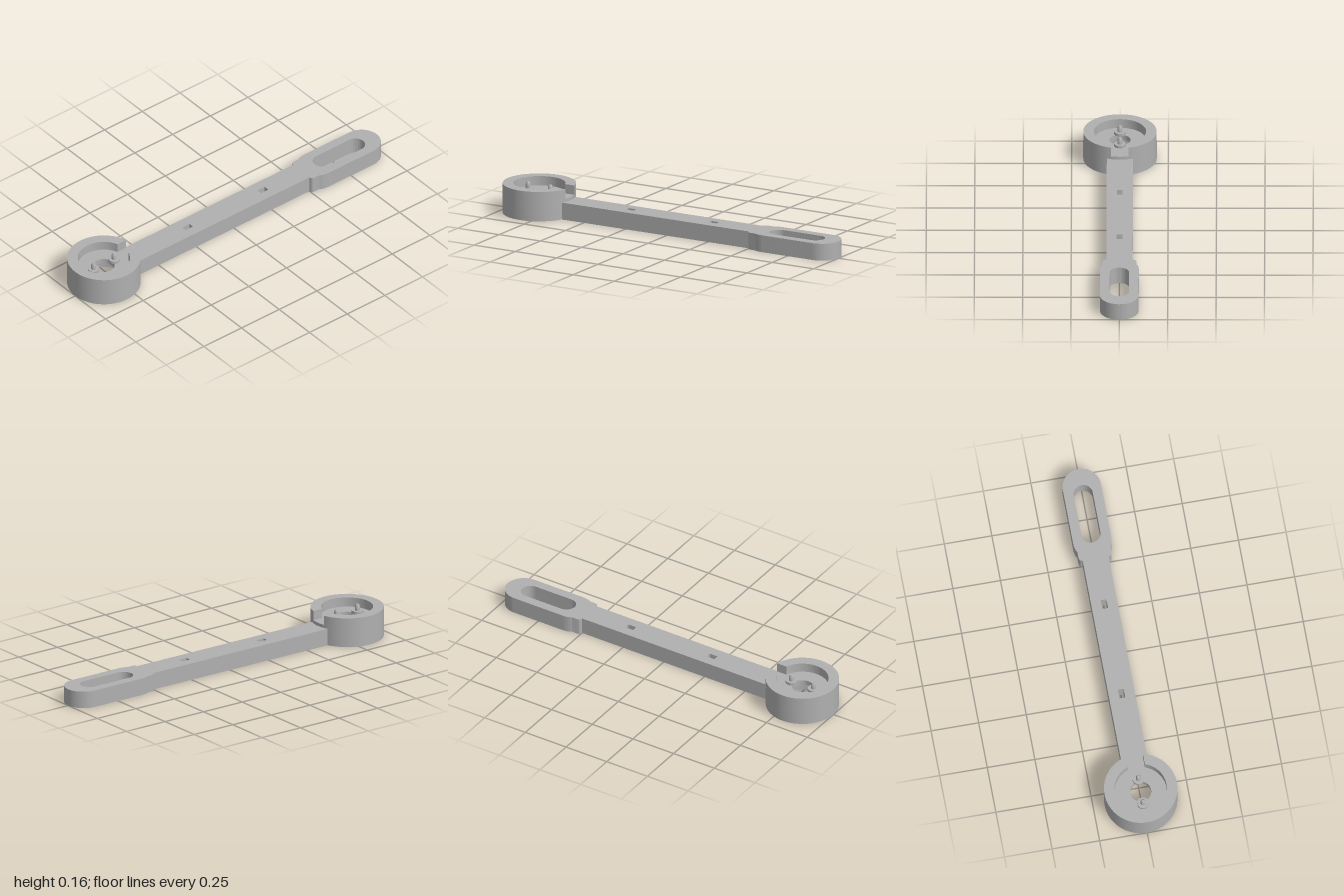
import * as THREE from 'three';
import { toCreasedNormals } from 'three/addons/utils/BufferGeometryUtils.js';

const HEAD_X = -0.81, HEAD_R = 0.19;

export function createModel() {
  const model = new THREE.Group();
  model.name = 'slottedLever';
  const grey = new THREE.MeshStandardMaterial({ name: 'grey', color: 0xb0b0b0 });

  function add(name, geometry, x = 0, y = 0) {
    const mesh = new THREE.Mesh(toCreasedNormals(geometry, 0.5), grey);
    mesh.name = name;
    mesh.position.set(x, y, 0);
    model.add(mesh);
  }
  // Plan outline raised vertically
  function raise(shape, height) {
    return new THREE.ExtrudeGeometry(shape, { depth: height, bevelEnabled: false, curveSegments: 40 })
      .rotateX(-Math.PI / 2);
  }
  function lathe(points, segments) {
    return new THREE.LatheGeometry(points.map(([r, y]) => new THREE.Vector2(r, y)), segments);
  }

  // Arm with its wider rounded end, long slot and two small slots
  const arm = new THREE.Shape();
  arm.moveTo(-0.65, -0.068);
  arm.lineTo(0.5, -0.068);
  arm.quadraticCurveTo(0.5, -0.086, 0.52, -0.087);
  arm.lineTo(0.55, -0.087);
  arm.quadraticCurveTo(0.57, -0.1, 0.6, -0.1);
  arm.lineTo(0.9, -0.1);
  arm.absarc(0.9, 0, 0.1, -Math.PI / 2, Math.PI / 2, false);
  arm.lineTo(0.6, 0.1);
  arm.quadraticCurveTo(0.57, 0.1, 0.55, 0.087);
  arm.lineTo(0.52, 0.087);
  arm.quadraticCurveTo(0.5, 0.086, 0.5, 0.068);
  arm.lineTo(-0.65, 0.068);
  arm.closePath();

  const slot = new THREE.Path();
  slot.absarc(0.86, 0, 0.05, -Math.PI / 2, Math.PI / 2, false);
  slot.absarc(0.64, 0, 0.05, Math.PI / 2, Math.PI * 1.5, false);
  slot.closePath();
  arm.holes.push(slot);
  for (const x of [-0.255, 0.245]) {
    arm.holes.push(new THREE.Path([[-1, -1], [1, -1], [1, 1], [-1, 1]]
      .map(([i, j]) => new THREE.Vector2(x + i * 0.024, j * 0.015))));
  }
  add('arm', raise(arm, 0.09));

  // Head: lower ring with a pocket underneath and a pierced floor
  add('headBase', lathe([
    [0.128, 0], [HEAD_R, 0], [HEAD_R, 0.107], [0.055, 0.107],
    [0.055, 0.08], [0.128, 0.08], [0.128, 0],
  ], 72), HEAD_X);

  // Upper wall, open towards the arm
  const inner = 0.135, half = 0.045;
  const a = Math.asin(half / HEAD_R), b = Math.asin(half / inner);
  const wall = new THREE.Shape();
  wall.absarc(0, 0, HEAD_R, a, Math.PI * 2 - a, false);
  wall.absarc(0, 0, inner, Math.PI * 2 - b, b, true);
  wall.closePath();
  add('headWall', raise(wall, 0.05), HEAD_X, 0.107);

  // Two tapered pins on round collars
  for (const side of [-1, 1]) {
    add(side < 0 ? 'outerPin' : 'innerPin', lathe([
      [0, 0.107], [0.03, 0.107], [0.03, 0.121], [0.013, 0.121],
      [0.013, 0.143], [0.007, 0.155], [0, 0.155],
    ], 32), HEAD_X + side * 0.0675);
  }
  return model;
}
